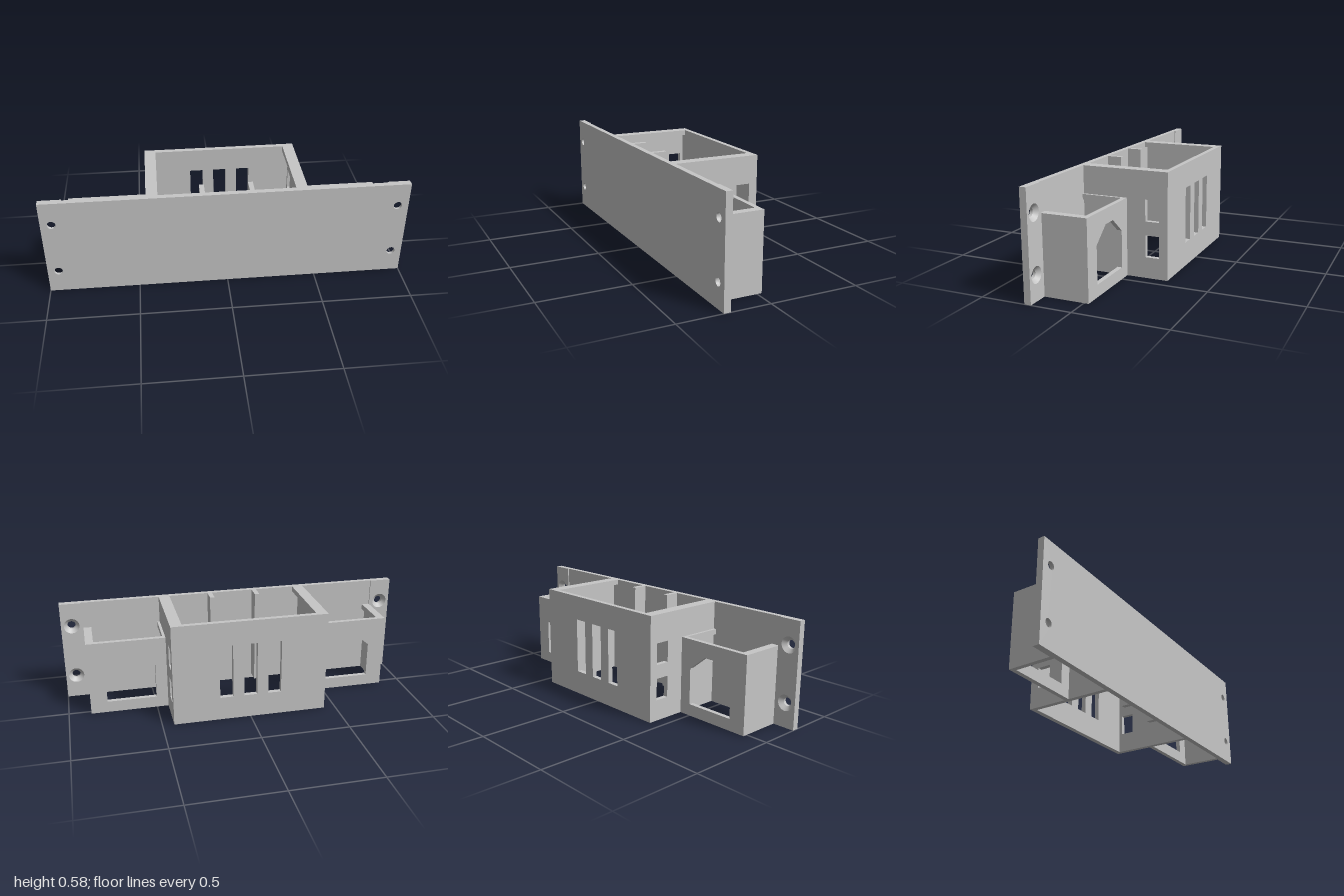
import * as THREE from 'three';

export function createModel() {
  const model = new THREE.Group();
  model.name = 'panelEnclosure';
  const grey = new THREE.MeshStandardMaterial({ color: 0xc6c6c6, side: THREE.DoubleSide });
  grey.name = 'grey plastic';

  const add = (name, geometry) => {
    const mesh = new THREE.Mesh(geometry, grey);
    mesh.name = name;
    model.add(mesh);
    return mesh;
  };
  // box given by its extents
  const block = (name, x0, x1, y0, y1, z0, z1) => {
    const g = new THREE.BoxGeometry(Math.abs(x1 - x0), y1 - y0, z1 - z0);
    g.translate((x0 + x1) / 2, (y0 + y1) / 2, (z0 + z1) / 2);
    return add(name, g);
  };
  const polygon = (pts) => pts.map(([x, y]) => new THREE.Vector2(x, y));
  const rect = (x0, x1, y0, y1) => polygon([[x0, y0], [x1, y0], [x1, y1], [x0, y1]]);
  const circle = (x, y, r) => new THREE.Path().absarc(x, y, r, 0, Math.PI * 2, true);
  // flat wall with openings, extruded along z
  const wall = (outline, holes, depth) => {
    const shape = new THREE.Shape(outline);
    shape.holes = holes.map((h) => (Array.isArray(h) ? new THREE.Path(h) : h));
    return new THREE.ExtrudeGeometry(shape, { depth, bevelEnabled: false, curveSegments: 16 });
  };

  const H = 0.58, boxH = 0.427, lip = 0.03, thin = 0.026;
  const zFront = 0.256, zPlate = 0.226, zEnd = 0.219, zSink = 0.24;
  const screwY = [0.135, 0.445];

  // front panel: thin face sheet with screw holes, thicker behind
  const screwHoles = [-0.94, 0.94].flatMap((x) => screwY.map((y) => circle(x, y, 0.023)));
  add('frontPanel', wall(rect(-1, 1, 0, H), screwHoles, zFront - zSink)).position.z = zSink;
  block('panelBacking', -0.875, 0.875, 0, H, zPlate, zSink);

  // central housing back wall with three vent slots
  const slots = [-0.137, 0, 0.137].map((x) => rect(x - 0.037, x + 0.037, 0.135, 0.445));
  add('housingBack', wall(rect(-0.435, 0.435, 0, H), slots, 0.028)).position.z = -0.256;

  for (const s of [-1, 1]) {
    // mounting ear with countersunk screw holes
    const x0 = s > 0 ? 0.875 : -1;
    const ear = wall(rect(x0, x0 + 0.125, 0, H), screwY.map((y) => circle(s * 0.94, y, 0.044)), zSink - zEnd);
    add('mountingEar', ear).position.z = zEnd;
    for (const y of screwY) {
      const cone = new THREE.CylinderGeometry(0.023, 0.044, zSink - zEnd, 32, 1, true);
      cone.rotateX(Math.PI / 2);
      add('countersink', cone).position.set(s * 0.94, y, (zSink + zEnd) / 2);
    }

    // thin housing side wall with two windows and a thicker rim on top
    const windows = [rect(-0.209, -0.131, 0.115, 0.234), rect(-0.209, -0.131, 0.31, 0.427)];
    const side = wall(rect(-0.228, zPlate, 0, H), windows, thin);
    side.rotateY(-Math.PI / 2);
    add('housingSide', side).position.x = s > 0 ? 0.435 : thin - 0.435;
    block('housingRim', s * 0.372, s * (0.435 - thin), H - lip, H, -0.228, zPlate);

    // inner rib behind the panel
    block('rib', s * 0.12, s * 0.147, 0.03, H, 0.144, zPlate);

    // side compartment: outer wall, top rims and back with chamfered socket opening
    block('compartmentOuterWall', s * 0.85, s * 0.875, 0, boxH, 0, zPlate);
    block('compartmentOuterRim', s * 0.831, s * 0.85, boxH - lip, boxH, 0, zPlate);
    block('compartmentInnerRim', s * 0.435, s * 0.45, boxH - lip, boxH, 0, zPlate);
    const socket = [[0.5, 0.065], [0.78, 0.065], [0.78, 0.267], [0.68, 0.348], [0.6, 0.348], [0.5, 0.267]];
    const outline = [[0.435, 0], [0.875, 0], [0.875, boxH], [0.435, boxH]];
    const mirror = (pts) => polygon(pts.map(([x, y]) => [s * x, y]));
    add('compartmentBack', wall(mirror(outline), [mirror(socket)], 0.026)).position.z = -0.026;
  }
  return model;
}
